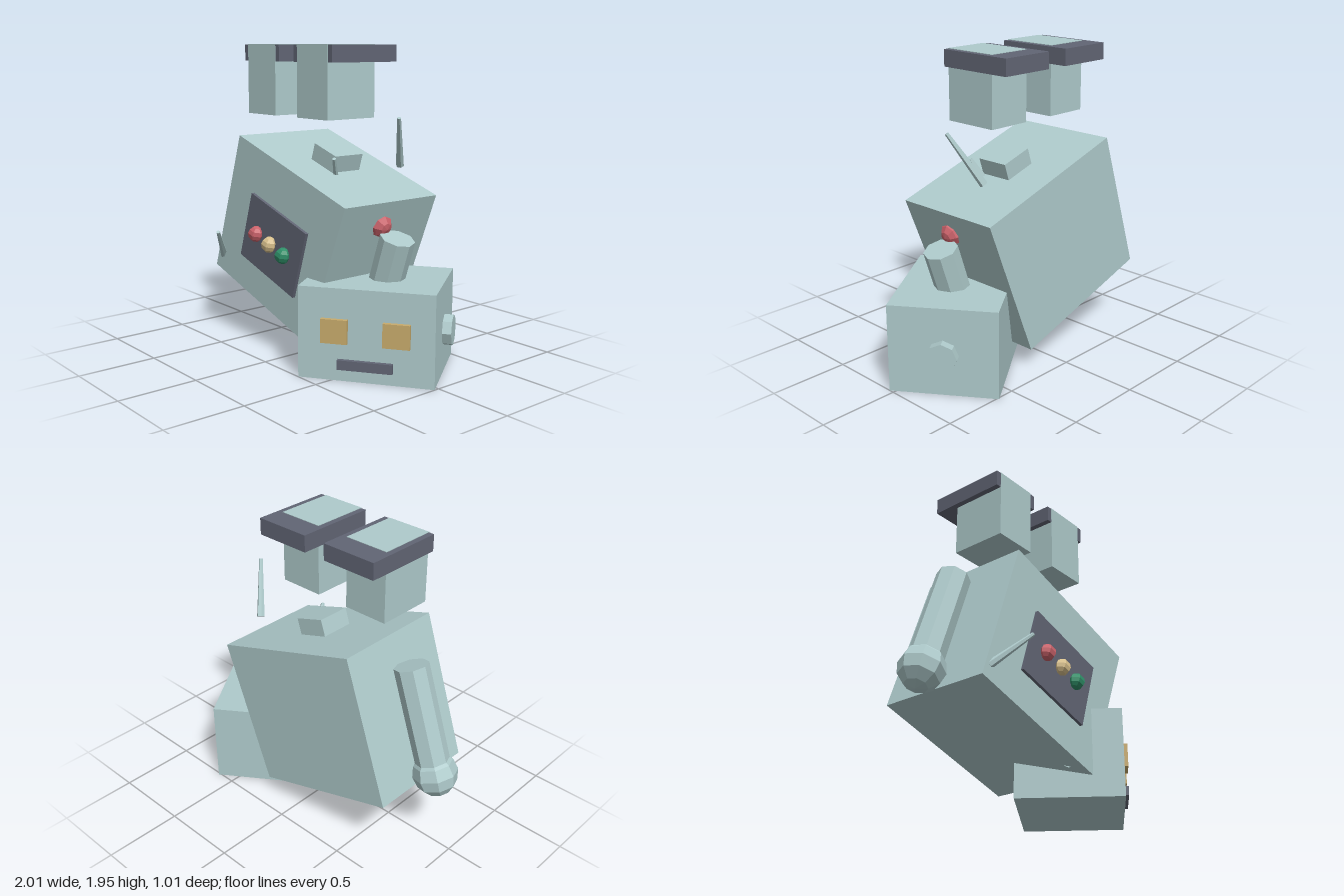
import * as THREE from 'three';

const paint = (name, color) => {
  const m = new THREE.MeshStandardMaterial({ color, flatShading: true });
  m.name = name;
  return m;
};

export function createModel() {
  const model = new THREE.Group();
  model.name = 'brokenRobot';

  const metal = paint('paleTealMetal', 0xaecacb);
  const dark = paint('darkSlate', 0x616574);
  const amber = paint('amber', 0xc8ab6c);
  const sand = paint('sandYellow', 0xd8c08c);
  const red = paint('red', 0xca626a);
  const green = paint('green', 0x2f8f68);

  const TILT = -0.31; // lean of the torso
  const MID_Z = -0.027; // middle of the torso in depth

  const add = (name, geometry, material, x, y, z, parent = model) => {
    const mesh = new THREE.Mesh(geometry, material);
    mesh.name = name;
    mesh.position.set(x, y, z);
    parent.add(mesh);
    return mesh;
  };
  const box = (name, w, h, d, material, x, y, z, parent) =>
    add(name, new THREE.BoxGeometry(w, h, d), material, x, y, z, parent);

  // Tapered rod from point a to point b
  const rod = (name, a, b, ra, rb, sides) => {
    const from = new THREE.Vector3(...a), to = new THREE.Vector3(...b);
    const dir = to.clone().sub(from);
    const mid = from.clone().add(to).multiplyScalar(0.5);
    const mesh = add(name, new THREE.CylinderGeometry(rb, ra, dir.length(), sides), metal, mid.x, mid.y, mid.z);
    mesh.quaternion.setFromUnitVectors(new THREE.Vector3(0, 1, 0), dir.normalize());
    return mesh;
  };

  // Leaning torso, slightly wider at the shoulders
  const outline = new THREE.Shape([
    [-0.78, 0.455], [0.219, 0.134], [0.572, 1.027], [-0.476, 1.364],
  ].map(([x, y]) => new THREE.Vector2(x, y)));
  add('torso', new THREE.ExtrudeGeometry(outline, { depth: 0.74, bevelEnabled: false }), metal, 0, 0, -0.398);

  // Neck stump
  box('neck', 0.215, 0.18, 0.22, metal, 0.052, 1.214, MID_Z).rotation.z = TILT;

  // Chest panel with three buttons
  box('chestPanel', 0.585, 0.443, 0.04, dark, -0.11, 0.707, 0.342).rotation.z = TILT;
  [[red, -0.255, 0.754], [sand, -0.113, 0.708], [green, 0.027, 0.662]].forEach(([material, x, y], i) => {
    add('button' + (i + 1), new THREE.SphereGeometry(0.052, 6, 6), material, x, y, 0.378).rotation.z = TILT;
  });

  // Red lamp on the side of the torso
  add('sideLamp', new THREE.SphereGeometry(0.077, 8, 6), red, 0.488, 0.88, 0).rotation.z = TILT - Math.PI / 2;

  // Arms with ball hands
  [['rightArm', -0.647, 1.227], ['leftArm', 0.62, 0.813]].forEach(([name, x, y]) => {
    const hx = x - 0.225, hy = y - 0.672;
    rod(name, [hx, hy, MID_Z], [x, y, MID_Z], 0.107, 0.107, 8);
    add(name + 'Hand', new THREE.SphereGeometry(0.142, 8, 6), metal, hx, hy, MID_Z).rotation.z = TILT;
  });

  // Detached legs with upturned feet, floating above
  [['rightLeg', -0.376], ['leftLeg', 0.14]].forEach(([name, x]) => {
    box(name, 0.294, 0.446, 0.37, metal, x, 1.724, 0.049);
    box(name + 'Foot', 0.367, 0.105, 0.516, dark, x, 1.8915, -0.026);
  });

  // Loose antenna spikes
  [
    [[0.437, 1.215, -0.215], [0.583, 1.52, -0.062]],
    [[0.075, 0.96, -0.03], [0.217, 1.26, 0.125]],
    [[-0.71, 0.53, 0.325], [-0.525, 0.738, 0.49]],
  ].forEach(([a, b], i) => rod('spike' + (i + 1), a, b, 0.025, 0.012, 6));

  // Fallen head, turned to one side
  const head = new THREE.Group();
  head.name = 'head';
  head.position.set(0.476, 0, -0.008);
  head.rotation.y = 0.608;
  model.add(head);
  box('skull', 0.814, 0.556, 0.664, metal, 0, 0.278, 0, head);
  for (const side of [-1, 1]) {
    box(side < 0 ? 'rightEye' : 'leftEye', 0.16, 0.145, 0.05, amber, side * 0.185, 0.302, 0.335, head);
    const ear = add(side < 0 ? 'rightEar' : 'leftEar', new THREE.CylinderGeometry(0.095, 0.095, 0.1, 8), metal,
      side * 0.412, 0.26, 0, head);
    ear.rotation.z = -side * Math.PI / 2;
  }
  box('mouth', 0.33, 0.058, 0.05, dark, 0, 0.104, 0.335, head);

  return model;
}
